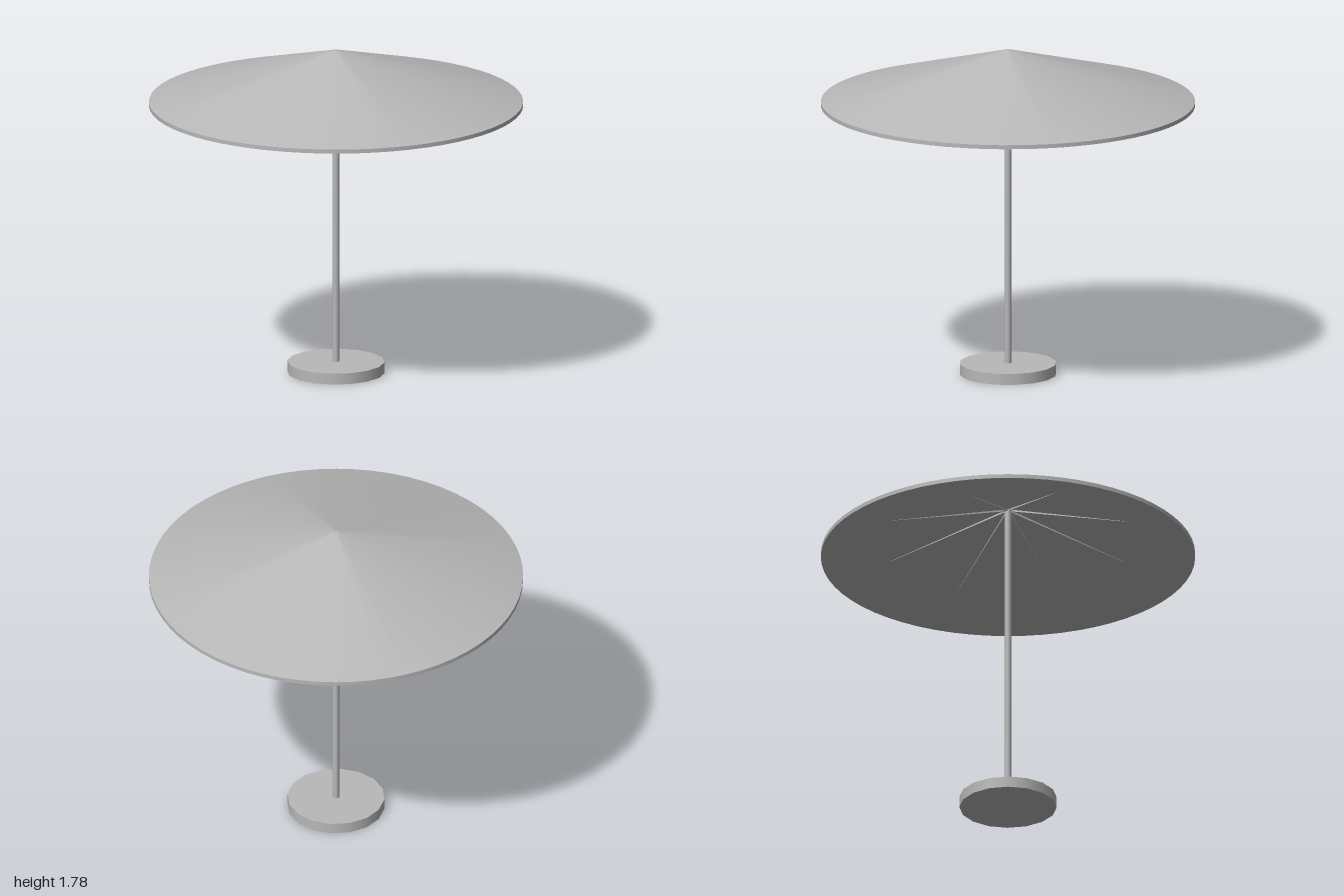
import * as THREE from 'three';
import { toCreasedNormals } from 'three/addons/utils/BufferGeometryUtils.js';

const RIBS = 8;

export function createModel() {
  const model = new THREE.Group();
  model.name = 'parasol';
  const grey = new THREE.MeshStandardMaterial({ color: 0xb8b8b8 });
  grey.name = 'plain grey';

  const add = (name, geometry, parent = model) => {
    const mesh = new THREE.Mesh(geometry, grey);
    mesh.name = name;
    parent.add(mesh);
    return mesh;
  };

  // Round weighted foot
  add('base', new THREE.CylinderGeometry(0.26, 0.26, 0.06, 16)).position.y = 0.03;

  // Pole from the foot up into the canopy
  const poleTop = 1.765;
  add('pole', new THREE.CylinderGeometry(0.018, 0.018, poleTop - 0.05, 16))
    .position.y = (poleTop + 0.05) / 2;

  // Canopy: thin conical shell with a short vertical rim, hollow underneath
  const profile = [[0, 1.75], [0.015, 1.75], [1, 1.475], [1, 1.497], [0.015, 1.78], [0, 1.78]]
    .map(([r, y]) => new THREE.Vector2(r, y));
  add('canopy', toCreasedNormals(new THREE.LatheGeometry(profile, 64), 0.2));

  // Slim ribs that sink gradually into the underside of the canopy
  const ribs = new THREE.Group();
  ribs.name = 'ribs';
  model.add(ribs);
  const inner = new THREE.Vector2(0.01, 1.746);
  const outer = new THREE.Vector2(0.68, 1.568);
  const length = inner.distanceTo(outer);
  const ribGeometry = new THREE.BoxGeometry(length, 0.01, 0.01);
  ribGeometry.rotateZ(Math.atan2(outer.y - inner.y, outer.x - inner.x));
  ribGeometry.translate((inner.x + outer.x) / 2, (inner.y + outer.y) / 2, 0);
  for (let i = 0; i < RIBS; i++) {
    add('rib', ribGeometry, ribs).rotation.y = (i / RIBS) * Math.PI * 2;
  }

  return model;
}
